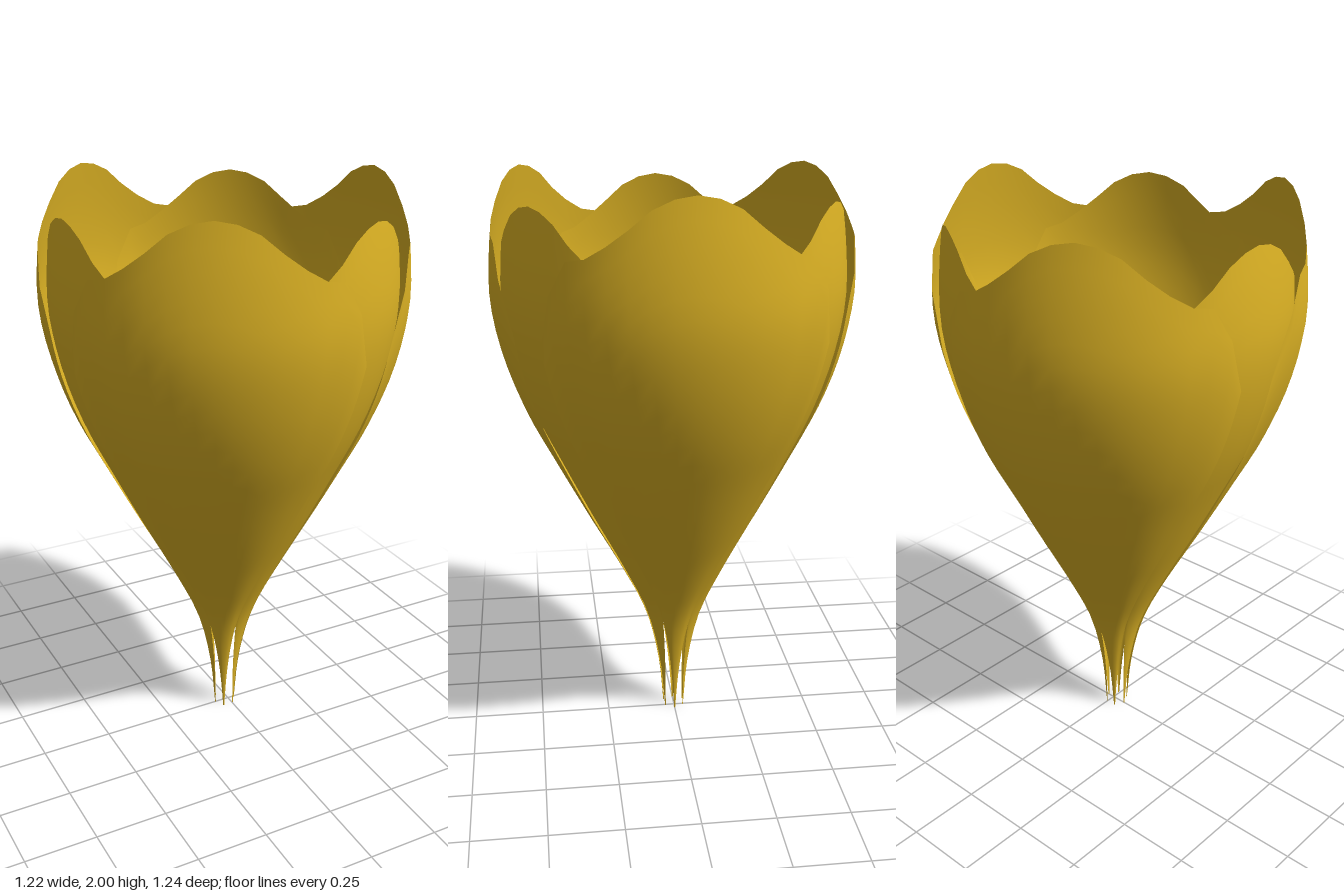
import * as THREE from 'three';

// Smooth value at t (0..1) through evenly spaced samples
function sample(list, t) {
  const n = list.length - 1;
  const x = Math.min(Math.max(t, 0), 1) * n;
  const i = Math.min(Math.floor(x), n - 1);
  const f = x - i;
  const slope = (k) => k === 0 ? list[1] - list[0]
    : k === n ? list[n] - list[n - 1]
    : (list[k + 1] - list[k - 1]) / 2;
  const a = list[i], b = list[i + 1];
  const f2 = f * f, f3 = f2 * f;
  return a * (2 * f3 - 3 * f2 + 1) + slope(i) * (f3 - 2 * f2 + f)
    + b * (3 * f2 - 2 * f3) + slope(i + 1) * (f3 - f2);
}

// Cup radius by height (every 0.2), half-angle of a petal from base to shoulder,
// and height of the petal rim from its centre line out to its edge
const RADIUS = [0.042, 0.06, 0.108, 0.205, 0.315, 0.42, 0.52, 0.59, 0.625, 0.615, 0.585];
const HALF_ANGLE = [3, 24, 37, 44.5, 50, 52];
const RIM = [2, 1.975, 1.89, 1.815, 1.77, 1.5];

// One petal facing +x: a sheet bent around the cup profile
function petalGeometry(radiusScale, heightScale) {
  const geometry = new THREE.PlaneGeometry(2, 1, 16, 28);
  const pos = geometry.attributes.position;
  for (let i = 0; i < pos.count; i++) {
    const u = pos.getX(i);
    const v = pos.getY(i) + 0.5;
    const y = v * sample(RIM, Math.abs(u)) * heightScale;
    const angle = -u * THREE.MathUtils.degToRad(sample(HALF_ANGLE, v));
    const r = sample(RADIUS, y / 2) * radiusScale * (1 - 0.045 * u ** 4);
    pos.setXYZ(i, r * Math.cos(angle), y, r * Math.sin(angle));
  }
  geometry.computeVertexNormals();
  return geometry;
}

export function createModel() {
  const model = new THREE.Group();
  model.name = 'flower';
  const yellow = new THREE.MeshStandardMaterial({ color: 0xdcb224, side: THREE.DoubleSide });
  yellow.name = 'petal yellow';

  // Three outer petals and three shorter inner ones between them
  const rings = [
    { name: 'outerPetal', geometry: petalGeometry(1, 1), turn: 0 },
    { name: 'innerPetal', geometry: petalGeometry(0.935, 0.967), turn: Math.PI / 3 },
  ];
  for (const { name, geometry, turn } of rings) {
    for (let i = 0; i < 3; i++) {
      const petal = new THREE.Mesh(geometry, yellow);
      petal.name = name + (i + 1);
      petal.rotation.y = turn + i * Math.PI * 2 / 3;
      petal.position.x = -0.016;
      model.add(petal);
    }
  }
  return model;
}
